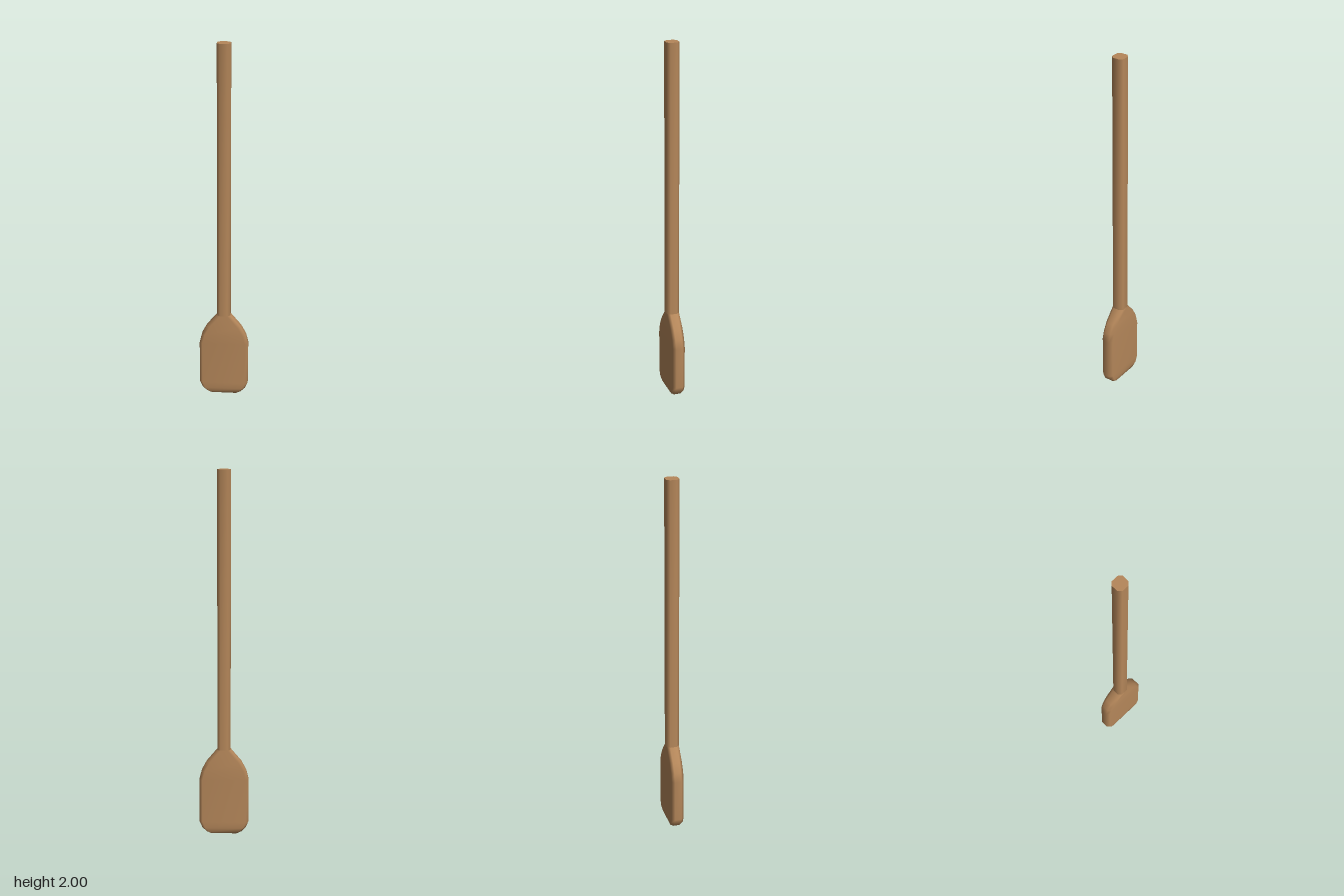
import * as THREE from 'three';

const wood = new THREE.MeshStandardMaterial({ color: 0xb5875a });
const CHAMFER = 0.016, SIDE = 0.019; // corner cut and half height of the narrow side face

// Lofts eight-sided sections [y, half width, half depth] listed from bottom to top.
function loft(name, sections, capBottom, capTop) {
  const positions = [], index = [];
  const addRing = ([y, w, d]) => {
    const i = w - CHAMFER;
    for (const [x, z] of [[w, SIDE], [i, d], [-i, d], [-w, SIDE], [-w, -SIDE], [-i, -d], [i, -d], [w, -SIDE]])
      positions.push(x, y, z);
  };
  sections.forEach(addRing);
  for (let r = 0; r < sections.length - 1; r++) {
    for (let j = 0; j < 8; j++) {
      const a = r * 8 + j, b = r * 8 + (j + 1) % 8;
      index.push(a, a + 8, b, b, a + 8, b + 8);
    }
  }
  // Bottom shares its ring (soft edge); top gets its own ring (sharp edge).
  if (capBottom) for (let j = 1; j < 7; j++) index.push(0, j, j + 1);
  if (capTop) {
    const s = positions.length / 3;
    addRing(sections[sections.length - 1]);
    for (let j = 1; j < 7; j++) index.push(s, s + j + 1, s + j);
  }
  const geometry = new THREE.BufferGeometry();
  geometry.setAttribute('position', new THREE.Float32BufferAttribute(positions, 3));
  geometry.setIndex(index);
  geometry.computeVertexNormals();
  const mesh = new THREE.Mesh(geometry, wood);
  mesh.name = name;
  return mesh;
}

export function createModel() {
  const group = new THREE.Group();
  group.name = 'paddle';
  const d = 0.035;

  // Long straight handle
  group.add(loft('shaft', [[0.48, 0.036, d], [2, 0.036, d]], false, true));

  // Flat blade: rounded bottom corners, shoulders tapering into the shaft
  group.add(loft('blade', [
    [0, 0.07, SIDE],
    [0.012, 0.096, 0.031],
    [0.035, 0.12, d],
    [0.07, 0.135, d],
    [0.31, 0.135, d],
    [0.36, 0.122, d],
    [0.41, 0.095, d],
    [0.48, 0.036, d],
  ], true, false));

  return group;
}
